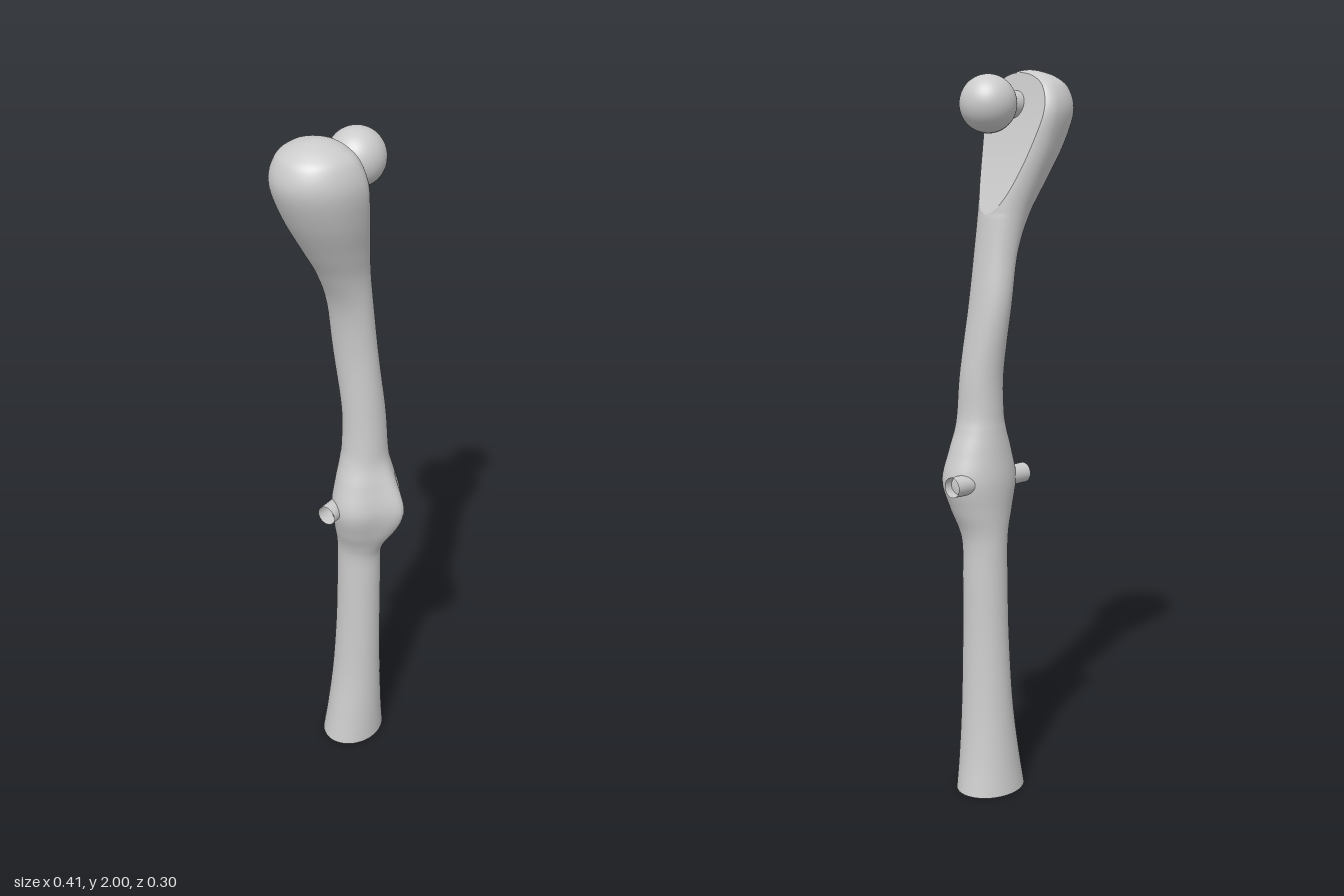
import * as THREE from 'three';

const material = new THREE.MeshStandardMaterial({ color: 0xcccccc, side: THREE.DoubleSide });

// Cross-sections from foot to crown: y, x min, x of widest point, x max, z back, z front
const SECTIONS = [
  [0, -0.04, 0.065, 0.168, -0.106, 0.07],
  [0.1, -0.025, 0.065, 0.152, -0.094, 0.069],
  [0.25, -0.007, 0.065, 0.138, -0.08, 0.067],
  [0.45, 0.001, 0.065, 0.129, -0.068, 0.066],
  [0.62, 0.003, 0.065, 0.127, -0.064, 0.066],
  [0.71, 0.003, 0.065, 0.127, -0.063, 0.066],
  [0.76, -0.005, 0.065, 0.135, -0.063, 0.076],
  [0.82, -0.027, 0.067, 0.158, -0.064, 0.095],
  [0.9, -0.047, 0.067, 0.181, -0.066, 0.11],
  [0.98, -0.028, 0.066, 0.16, -0.058, 0.097],
  [1.04, -0.008, 0.066, 0.14, -0.051, 0.085],
  [1.09, 0.001, 0.066, 0.13, -0.047, 0.082],
  [1.2, 0.005, 0.065, 0.124, -0.048, 0.074],
  [1.38, 0, 0.051, 0.102, -0.071, 0.061],
  [1.52, -0.018, 0.03, 0.085, -0.075, 0.058],
  [1.62, -0.06, 0.01, 0.073, -0.085, 0.06],
  [1.7, -0.108, -0.015, 0.06, -0.105, 0.073],
  [1.8, -0.167, -0.045, 0.035, -0.132, 0.094],
  [1.89, -0.202, -0.06, 0.01, -0.147, 0.104],
  [1.95, -0.191, -0.072, -0.008, -0.127, 0.087],
  [1.98, -0.159, -0.08, -0.03, -0.09, 0.055],
  [1.995, -0.122, -0.087, -0.06, -0.045, 0.015],
  [2, -0.09, -0.09, -0.09, -0.015, -0.015],
];
const CUT_START = 1.62;

// Smooth interpolation through the section table
function sectionAt(u) {
  const last = SECTIONS.length - 1;
  const i = Math.min(Math.floor(u), last - 1), t = u - i;
  const row = (k) => SECTIONS[Math.max(0, Math.min(last, k))];
  return row(i).map((p1, c) => {
    const p0 = row(i - 1)[c], p2 = row(i + 1)[c], p3 = row(i + 2)[c];
    return p1 + 0.5 * t * (p2 - p0 + t * (2 * p0 - 5 * p1 + 4 * p2 - p3 + t * (3 * (p1 - p2) + p3 - p0)));
  });
}

// x of the slanted face that slices the inner side of the head
function cutX(y) {
  const t = (y - CUT_START) / 0.36;
  return 0.073 - 0.118 * t * (1 + 0.43 * (1 - t));
}

// One ring of points, opened on the +x side where the cut removes it
function ring(u, segments) {
  const [y, x0, xc, x1, zb, zf] = sectionAt(u);
  const zc = (zb + zf) / 2, rz = (zf - zb) / 2;
  const open = y > CUT_START + 1e-6 && x1 > cutX(y)
    ? Math.acos(Math.max(-1, (cutX(y) - xc) / (x1 - xc))) : 0;
  const w = Math.min(1, Math.abs(y - 0.9) / 0.19);
  const ridge = 0.041 * Math.cos(w * Math.PI / 2) ** 2;
  const points = [];
  for (let j = 0; j <= segments; j++) {
    const a = open + (j / segments) * (2 * Math.PI - 2 * open);
    const dx = Math.cos(a) * (Math.cos(a) > 0 ? x1 - xc : xc - x0);
    const bump = Math.sin(a) > 0 ? ridge * Math.exp(-((dx / 0.038) ** 2)) * Math.sin(a) : 0;
    points.push(new THREE.Vector3(xc + dx, y, zc + Math.sin(a) * rz + bump));
  }
  return points;
}

// Skin between successive rows of points
function loft(rows) {
  const n = rows[0].length, index = [];
  for (let i = 0; i < rows.length - 1; i++) {
    for (let j = 0; j < n - 1; j++) {
      const a = i * n + j, b = a + 1, c = a + n, d = c + 1;
      index.push(a, c, b, b, c, d);
    }
  }
  const geometry = new THREE.BufferGeometry().setFromPoints(rows.flat());
  geometry.setIndex(index);
  geometry.computeVertexNormals();
  return geometry;
}

// Blend normals where a ring closes on itself
function smoothSeam(geometry, rows) {
  const normals = geometry.attributes.normal, n = rows[0].length;
  const a = new THREE.Vector3(), b = new THREE.Vector3();
  rows.forEach((row, i) => {
    if (row[0].distanceTo(row[n - 1]) > 1e-5) return;
    a.fromBufferAttribute(normals, i * n);
    b.fromBufferAttribute(normals, i * n + n - 1);
    a.add(b).normalize();
    normals.setXYZ(i * n, a.x, a.y, a.z);
    normals.setXYZ(i * n + n - 1, a.x, a.y, a.z);
  });
}

export function createModel() {
  const group = new THREE.Group();
  const add = (name, geometry, x = 0, y = 0, z = 0) => {
    const mesh = new THREE.Mesh(geometry, material);
    mesh.name = name;
    mesh.position.set(x, y, z);
    group.add(mesh);
    return mesh;
  };

  // Hollow stem with flared foot, swollen joint and leaning head
  const steps = 8, segments = 64, rows = [];
  for (let k = 0; k <= (SECTIONS.length - 1) * steps; k++) rows.push(ring(k / steps, segments));
  const skin = loft(rows);
  smoothSeam(skin, rows);
  add('stem', skin);

  // Slanted face on the inner side of the head
  const faceRows = rows.filter((r) => r[0].y >= CUT_START - 1e-6).map((r) => [r[segments], r[0]]);
  add('headFace', loft(faceRows));

  // Ball on a short neck
  add('ball', new THREE.SphereGeometry(0.076, 48, 32), 0.066, 1.907, -0.015);
  add('ballNeck', new THREE.CylinderGeometry(0.037, 0.037, 0.08, 32, 1, true), -0.005, 1.907, -0.015)
    .rotation.z = Math.PI / 2;

  // Open tubular pins on both sides of the joint
  for (const side of [1, -1]) {
    add(side > 0 ? 'leftPin' : 'rightPin',
      new THREE.CylinderGeometry(0.028, 0.028, 0.06, 32, 1, true), 0.067 + side * 0.107, 0.9, -0.015)
      .rotation.z = Math.PI / 2;
  }
  return group;
}
